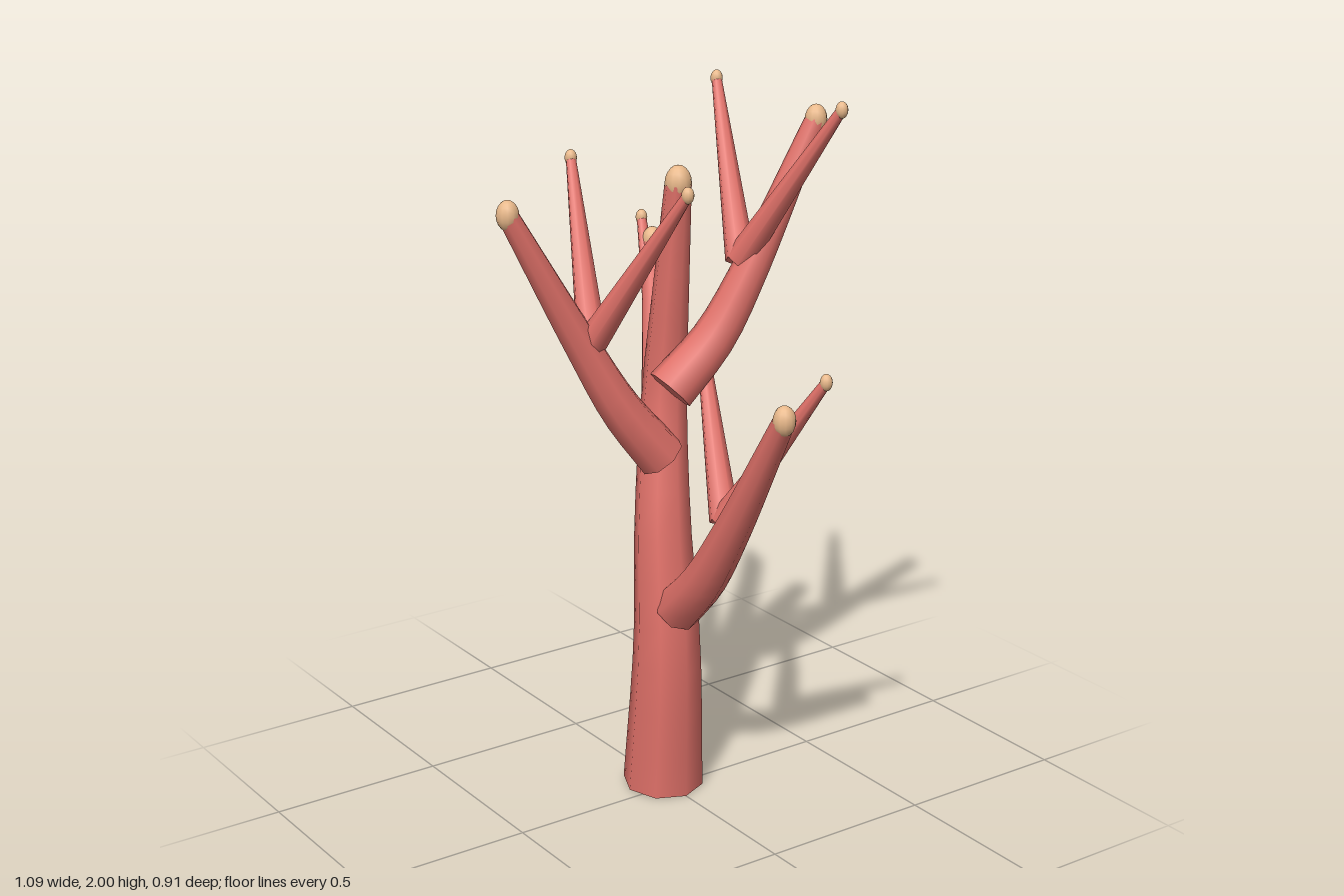
import * as THREE from 'three';

const SIDES = 8;
const coral = new THREE.MeshStandardMaterial({ color: 0xe2726a });
const pale = new THREE.MeshStandardMaterial({ color: 0xe8b88a });
const vec = (p) => new THREE.Vector3(...p);

function add(group, name, geometry, material) {
  const mesh = new THREE.Mesh(geometry, material);
  mesh.name = name;
  group.add(mesh);
  return mesh;
}

// Curved limb: a tube whose rings shrink linearly from r0 to r1
function taperedTube(curve, r0, r1, rows = 14) {
  const geo = new THREE.TubeGeometry(curve, rows, 1, SIDES, false);
  const pos = geo.attributes.position;
  const v = new THREE.Vector3();
  for (let i = 0; i <= rows; i++) {
    const c = curve.getPointAt(i / rows);
    const r = THREE.MathUtils.lerp(r0, r1, i / rows);
    for (let j = 0; j <= SIDES; j++) {
      const k = i * (SIDES + 1) + j;
      v.fromBufferAttribute(pos, k).sub(c).multiplyScalar(r).add(c);
      pos.setXYZ(k, v.x, v.y, v.z);
    }
  }
  return geo;
}

// Flat cut end closing the first ring of a tube
function cutEnd(tube) {
  const ring = Array.from(tube.attributes.position.array.slice(0, SIDES * 3));
  const index = [];
  for (let j = 1; j < SIDES - 1; j++) index.push(0, j, j + 1);
  const geo = new THREE.BufferGeometry();
  geo.setAttribute('position', new THREE.Float32BufferAttribute(ring, 3));
  geo.setIndex(index);
  geo.computeVertexNormals();
  // turn the disc outward, away from the limb
  const out = new THREE.Vector3().fromBufferAttribute(geo.attributes.normal, 0);
  if (out.y > 0) {
    geo.setIndex(index.reverse());
    geo.computeVertexNormals();
  }
  return geo;
}

// Pale rounded tip, slightly taller than wide
function addTip(group, p, r) {
  const tip = add(group, 'tip', new THREE.SphereGeometry(r, 12, 10), pale);
  tip.position.copy(p);
  tip.scale.y = 1.35;
}

function limb(name, points, r0, r1, tipR) {
  const group = new THREE.Group();
  group.name = name;
  const pts = points.map(vec);
  const tube = taperedTube(new THREE.CatmullRomCurve3(pts), r0, r1);
  add(group, name + 'Body', tube, coral);
  add(group, name + 'CutEnd', cutEnd(tube), coral);
  addTip(group, pts[pts.length - 1], tipR);
  return group;
}

// Straight twig between two points
function addTwig(group, from, to) {
  const dir = to.clone().sub(from);
  const twig = add(group, 'twig', new THREE.CylinderGeometry(0.014, 0.042, dir.length(), SIDES), coral);
  twig.position.copy(from).addScaledVector(dir, 0.5);
  twig.quaternion.setFromUnitVectors(new THREE.Vector3(0, 1, 0), dir.normalize());
  addTip(group, to, 0.017);
}

export function createModel() {
  const model = new THREE.Group();
  model.name = 'branchingCoral';

  model.add(limb('trunk', [
    [-0.035, 0.005, 0], [-0.015, 0.45, 0], [-0.05, 0.8, -0.01],
    [-0.1, 1.15, -0.05], [-0.075, 1.45, -0.055], [-0.04, 1.76, -0.055],
  ], 0.116, 0.037, 0.037));

  // Main branches, each with the fork point of its twig pair
  const branches = [
    ['leftBranch', [[0.04, 0.57, 0], [0.16, 0.69, 0], [0.29, 0.88, 0], [0.51, 1.25, 0]], [0.235, 0.89, -0.015]],
    ['rightBranch', [[-0.04, 0.78, 0], [-0.18, 0.95, -0.09], [-0.29, 1.15, -0.16], [-0.475, 1.48, -0.27]], [-0.25, 1.1, -0.15]],
    ['frontBranch', [[-0.035, 1.0, 0.005], [-0.06, 1.15, 0.12], [-0.09, 1.35, 0.23], [-0.13, 1.72, 0.425]], [-0.08, 1.35, 0.2]],
    ['backBranch', [[0, 1.2, 0], [0.02, 1.33, -0.13], [0.04, 1.5, -0.23], [0.08, 1.91, -0.425]], [0.02, 1.54, -0.22]],
  ];
  for (const [name, points, fork] of branches) {
    const branch = limb(name, points, 0.07, 0.03, 0.031);
    for (const side of [-1, 1]) {
      const from = vec(fork);
      addTwig(branch, from, from.clone().add(new THREE.Vector3(side * 0.277, 0.44, -0.118)));
    }
    model.add(branch);
  }
  return model;
}
